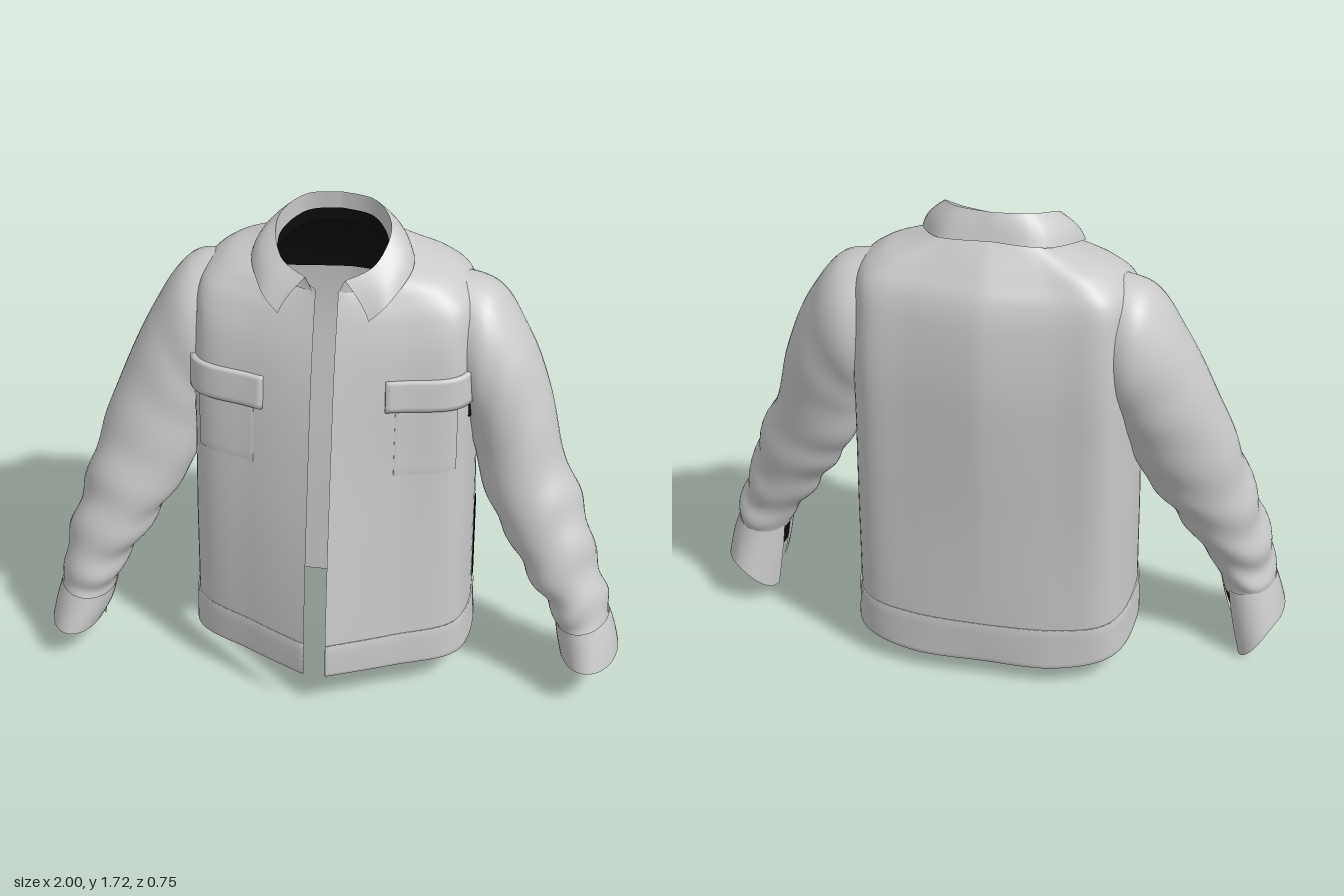
import * as THREE from 'three';
import { mergeVertices } from 'three/addons/utils/BufferGeometryUtils.js';

const cloth = new THREE.MeshStandardMaterial({ color: 0xcacaca, side: THREE.DoubleSide });
cloth.name = 'grey cloth';
const dark = new THREE.MeshStandardMaterial({ color: 0x0c0c0c, side: THREE.DoubleSide });
dark.name = 'black lining';

const { lerp, clamp, smoothstep } = THREE.MathUtils;
const V = (x, y, z) => new THREE.Vector3(x, y, z);

// Smooth interpolation through rows of numbers, t from 0 to 1
function spline(rows, t) {
  const n = rows.length - 1, f = clamp(t, 0, 1) * n, i = Math.min(Math.floor(f), n - 1), k = f - i;
  const a = rows[Math.max(i - 1, 0)], b = rows[i], c = rows[i + 1], d = rows[Math.min(i + 2, n)];
  return b.map((q, j) => q + 0.5 * k * (c[j] - a[j] + k * (2 * a[j] - 5 * q + 4 * c[j] - d[j]
    + k * (3 * (q - c[j]) + d[j] - a[j]))));
}

// Surface from a function of s and t, both 0 to 1
function sheet(fn, ns, nt) {
  const pos = [], idx = [];
  for (let j = 0; j <= nt; j++) for (let i = 0; i <= ns; i++) pos.push(...fn(i / ns, j / nt).toArray());
  for (let j = 0; j < nt; j++) for (let i = 0; i < ns; i++) {
    const a = j * (ns + 1) + i, b = a + 1, c = a + ns + 1, d = c + 1;
    idx.push(a, b, d, a, d, c);
  }
  let g = new THREE.BufferGeometry();
  g.setAttribute('position', new THREE.Float32BufferAttribute(pos, 3));
  g.setIndex(idx);
  g = mergeVertices(g, 1e-5);
  g.computeVertexNormals();
  return g;
}

// Body rings: half width, front y, side y, back y, front z, side-front z, back z
const BODY = [
  [0.48, 0.145, 0.11, 0.07, 0.375, 0.13, -0.335],
  [0.475, 0.28, 0.26, 0.24, 0.37, 0.13, -0.34],
  [0.475, 0.6, 0.6, 0.6, 0.325, 0.12, -0.345],
  [0.472, 0.9, 0.9, 0.9, 0.272, 0.11, -0.355],
  [0.472, 1.15, 1.15, 1.15, 0.225, 0.1, -0.36],
  [0.465, 1.3, 1.34, 1.34, 0.19, 0.085, -0.345],
  [0.45, 1.4, 1.46, 1.45, 0.16, 0.055, -0.32],
  [0.38, 1.46, 1.53, 1.52, 0.14, 0.03, -0.28],
  [0.29, 1.5, 1.565, 1.58, 0.125, 0.02, -0.24],
  [0.2, 1.52, 1.595, 1.635, 0.12, 0, -0.2],
];
const SHIFT = -0.013;

// Point on the body: u is 0 at the back centre and +-1 at the front edges, v counts rings
function body(u, v) {
  const [w, yF, yS, yB, zF, zS, zB] = spline(BODY, v / 9), zM = (zB + zS) / 2;
  const p = spline([
    [0, yB, zB], [w * 0.5, yB, zB + 0.006], [w * 0.88, lerp(yB, yS, 0.6), lerp(zB, zM, 0.3)],
    [w, yS, zM], [w * 0.94, lerp(yS, yF, 0.4), zS],
    [w * 0.52, lerp(yS, yF, 0.75), (zS + zF) / 2 + 0.008], [0.037, yF, zF],
  ], Math.abs(u));
  const drape = -0.013 * Math.cos(u * 19) * Math.sin(Math.PI * v / 9) * (1 - smoothstep(Math.abs(u), 0.33, 0.55));
  return V(p[0] * (u < 0 ? -1 : 1) + SHIFT, p[1], p[2] + drape);
}

// Same point pushed along the outward normal
function bodyOff(u, v, off) {
  const h = 0.01, p = body(u, v);
  const du = body(Math.min(u + h, 1), v).sub(body(Math.max(u - h, -1), v));
  const dv = body(u, Math.min(v + h, 9)).sub(body(u, Math.max(v - h, 0)));
  return p.addScaledVector(dv.cross(du).normalize(), off);
}

// Raised panel lying on the body, its rim folded down to the cloth
function panel(u0, u1, v0, v1, off, n, m) {
  const rim = (s, k) => clamp((s * (k + 2) - 1) / k, 0, 1);
  return sheet((s, t) => {
    const edge = s === 0 || s === 1 || t === 0 || t === 1;
    return bodyOff(lerp(u0, u1, rim(s, n)), lerp(v0, v1, rim(t, m)), edge ? 0 : off);
  }, n + 2, m + 2);
}

// Sleeve rings: outer x, y, inner x, y, centre z, half depth
const LEFT = [
  [0.37, 1.505, 0.34, 1.15, -0.11, 0.13], [0.51, 1.465, 0.40, 1.05, -0.11, 0.185],
  [0.625, 1.31, 0.43, 0.97, -0.09, 0.18], [0.71, 1.1, 0.46, 0.88, -0.07, 0.165],
  [0.765, 0.88, 0.50, 0.74, -0.035, 0.155], [0.845, 0.71, 0.575, 0.61, 0, 0.15],
  [0.9, 0.52, 0.66, 0.47, 0.035, 0.14], [0.95, 0.38, 0.74, 0.36, 0.05, 0.13], [0.96, 0.28, 0.785, 0.27, 0.06, 0.13],
];
const RIGHT = [
  [0.38, 1.505, 0.34, 1.15, -0.11, 0.13], [0.53, 1.465, 0.40, 1.05, -0.11, 0.185],
  [0.645, 1.29, 0.43, 0.97, -0.09, 0.18], [0.735, 1.09, 0.46, 0.87, -0.06, 0.17],
  [0.81, 0.89, 0.50, 0.74, -0.02, 0.16], [0.87, 0.68, 0.58, 0.6, 0.03, 0.15],
  [0.925, 0.5, 0.67, 0.46, 0.07, 0.14], [0.955, 0.35, 0.745, 0.33, 0.1, 0.13], [0.965, 0.25, 0.785, 0.23, 0.11, 0.13],
];
const LEFT_CUFF = [[0.96, 0.315, 0.775, 0.29, 0.06, 0.133], [0.985, 0.24, 0.785, 0.23, 0.06, 0.15], [1, 0.165, 0.8, 0.165, 0.06, 0.17]];
const RIGHT_CUFF = [[0.965, 0.27, 0.775, 0.25, 0.11, 0.133], [0.985, 0.2, 0.795, 0.18, 0.115, 0.15], [1, 0.13, 0.825, 0.12, 0.12, 0.165]];

function ringPoint(r, a, k, side) {
  const c = Math.cos(a) * k / 2;
  return V(side * ((r[0] + r[2]) / 2 + (r[0] - r[2]) * c), (r[1] + r[3]) / 2 + (r[1] - r[3]) * c, r[4] + r[5] * k * Math.sin(a));
}

function sleeve(rows, side) {
  return sheet((s, t) => {
    const a = s * Math.PI * 2 + Math.PI;
    // Creases gather below the elbow
    const amp = 0.01 + 0.055 * smoothstep(t, 0.45, 0.7) * (1 - smoothstep(t, 0.93, 1));
    const k = 1 + amp * Math.sin(t * 44 + 1.6 * Math.sin(a + side) + Math.sin(2 * a)) * (0.65 + 0.35 * Math.cos(a * 2 + t * 9));
    return ringPoint(spline(rows, t), a, k, side);
  }, 40, 90);
}

// Open cuff with a slit at the given angle and one broad hanging corner
function cuff(rows, side, slit, drop) {
  return sheet((s, t) => {
    const a = slit + 0.15 + s * (Math.PI * 2 - 0.3);
    const p = ringPoint(spline(rows, t), a, 1, side);
    p.y -= drop * t * (1 - smoothstep(s, 0, 0.27)) + 0.02 * t * smoothstep(s, 0.85, 1);
    return p;
  }, 40, 6);
}

// Dark strip behind the cuff slit
const slitLining = (rows, side, slit) =>
  sheet((s, t) => ringPoint(spline(rows, t * 0.7), slit + lerp(-0.3, 0.3, s), 0.96, side), 6, 4);

// Collar lines from front to back centre
const BASE = [[0.04, 1.51, 0.118], [0.15, 1.53, 0.08], [0.192, 1.575, -0.05], [0.12, 1.605, -0.17], [0, 1.615, -0.195]];
const FOLD = [[0.065, 1.56, 0.115], [0.155, 1.6, 0.065], [0.188, 1.675, -0.05], [0.12, 1.712, -0.16], [0, 1.718, -0.19]];
const LEAF = [[0.15, 1.44, 0.155], [0.215, 1.5, 0.115], [0.268, 1.57, -0.03], [0.175, 1.615, -0.2], [0, 1.628, -0.22]];
const inward = ([x, y, z]) => [x * 0.955, y, z + 0.008 * (z < 0 ? 1 : -1)];

function collar(from, to, extent, reach, bulge) {
  return sheet((s, t) => {
    const u = lerp(-reach, reach, s), h = 1 - Math.abs(u);
    const p = V(...spline(from, h)).lerp(V(...spline(to, h)), extent * t);
    const puff = 1 + bulge * Math.sin(Math.PI * t);
    return V(p.x * puff * (u < 0 ? -1 : 1) - 0.02, p.y + bulge * 0.1 * Math.sin(Math.PI * t), p.z);
  }, 48, 6);
}

export function createModel() {
  const jacket = new THREE.Group();
  jacket.name = 'jacket';
  const add = (name, geo, mat = cloth) => {
    const m = new THREE.Mesh(geo, mat);
    m.name = name;
    jacket.add(m);
  };

  add('body', sheet((s, t) => body(s * 2 - 1, t * 9), 96, 72));
  add('hemBand', panel(-1, 1, 0, 0.95, 0.005, 96, 6));
  add('backLining', sheet((s, t) => bodyOff(lerp(-0.45, 0.45, s), lerp(5.1, 9, t), -0.012), 40, 20), dark);

  // Collar: grey stand and folded leaf, dark band inside
  add('collarStand', collar(BASE, FOLD, 1, 1, 0));
  add('collarLining', collar(BASE.map(inward), FOLD.map(inward), 0.45, 0.72, 0), dark);
  add('collarLeaf', collar(FOLD, LEAF, 1, 1, 0.05));

  // Chest pockets with flaps
  for (const [side, name, v] of [[1, 'left', 3.88], [-1, 'right', 3.74]]) {
    add(name + 'PocketBag', panel(side * 0.68, side * 0.84, 2.95, 4, 0.003, 14, 10));
    add(name + 'PocketFlap', panel(side * 0.635, side * 0.865, v, v + 0.56, 0.016, 16, 8));
  }

  // Dark gaps in the left side seam
  add('sideSeamGap', panel(0.5, 0.525, 1.2, 2.1, 0.004, 2, 8), dark);
  add('armpitGap', panel(0.61, 0.63, 3.6, 3.9, 0.006, 2, 4), dark);

  add('leftSleeve', sleeve(LEFT, 1));
  add('rightSleeve', sleeve(RIGHT, -1));
  for (const [name, rows, side, slit, drop] of [
    ['left', LEFT_CUFF, 1, Math.PI * 1.1, 0.115], ['right', RIGHT_CUFF, -1, Math.PI * 1.25, 0.12],
  ]) {
    add(name + 'Cuff', cuff(rows, side, slit, drop));
    add(name + 'CuffSlitLining', slitLining(rows, side, slit), dark);
  }
  return jacket;
}
